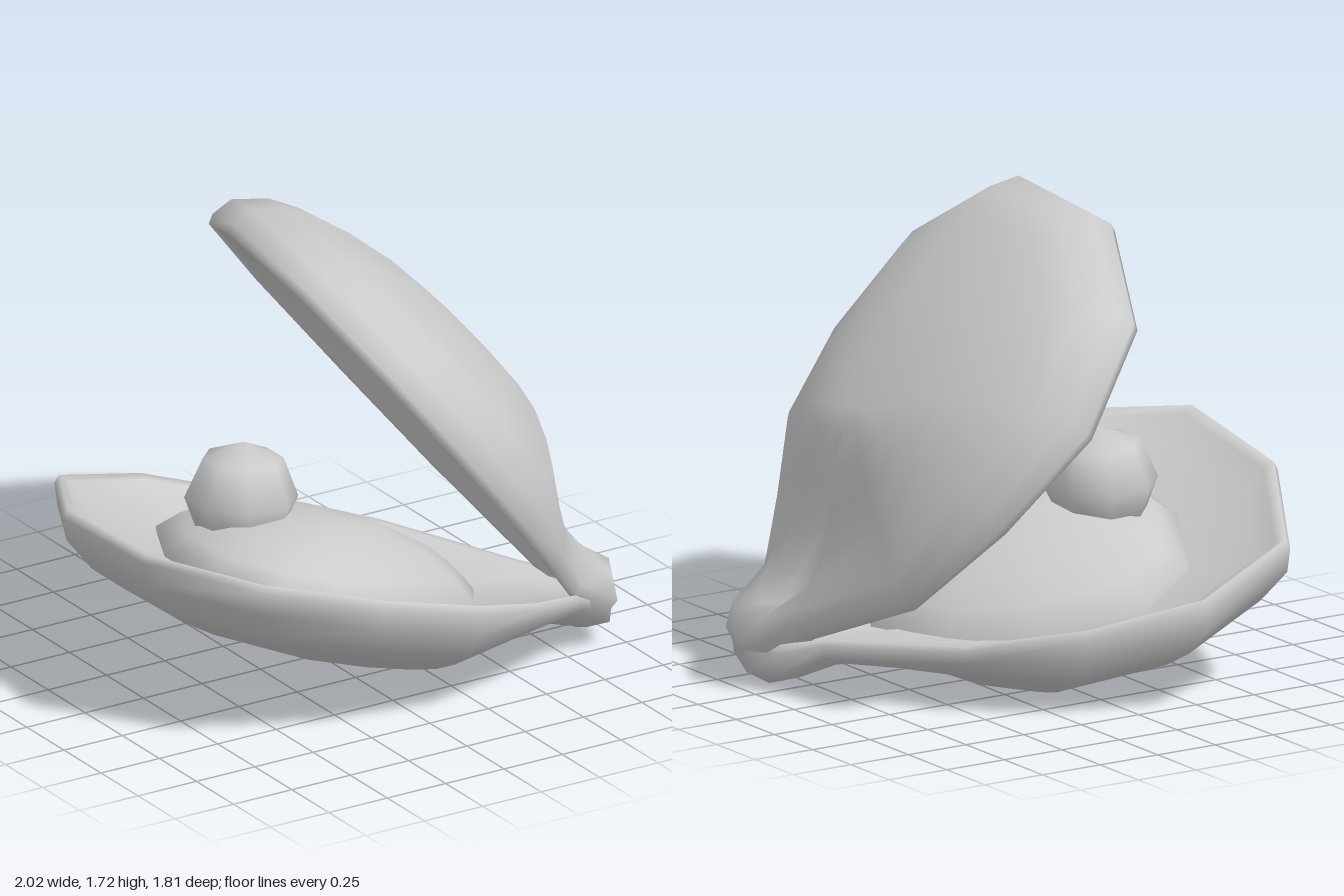
import * as THREE from 'three';
import { mergeVertices } from 'three/addons/utils/BufferGeometryUtils.js';

const material = new THREE.MeshStandardMaterial({ color: 0xcccccc });
const { smoothstep } = THREE.MathUtils;

// Shells get shallower toward the hinge (t near 1), with a fuller knob at the tip
const pinch = (t) => 1 - 0.48 * smoothstep(t, 0.12, 0.62) + 0.5 * smoothstep(t, 0.78, 0.97);

// Each turns outline coordinates and a depth into a point
const lowerPoint = (x, z, d) => [x, 0.442 - 0.29 * x + 0.072 * z - d * pinch(x), z];
const upperPoint = (y, z, depth) => {
  const d = depth * pinch(1.1 - 1.25 * y);
  return [1.02 - 0.8 * y - 0.16 * z + 0.78 * d, y + 0.62 * d, z + 0.08 * d];
};
const fleshPoint = (x, z, d) => [x, 0.442 - 0.29 * x + 0.072 * z - d, z];

// Surface made of scaled copies of an outline; each ring is [scale, depth]
function ringSurface(name, outline, [ca, cz], rings, toPoint) {
  const positions = [], index = [], n = outline.length;
  for (const [s, depth] of rings) {
    for (const [a, z] of outline) {
      positions.push(...toPoint(ca + (a - ca) * s, cz + (z - cz) * s, depth));
    }
  }
  for (let r = 0; r < rings.length - 1; r++) {
    for (let j = 0; j < n; j++) {
      const k = (j + 1) % n;
      const a = r * n + j, b = r * n + k, c = a + n, d = b + n;
      if (rings[r][0] > 0) index.push(a, b, d);
      if (rings[r + 1][0] > 0) index.push(a, d, c);
    }
  }
  let geometry = new THREE.BufferGeometry();
  geometry.setAttribute('position', new THREE.Float32BufferAttribute(positions, 3));
  geometry.setIndex(index);
  geometry = mergeVertices(geometry, 1e-4);
  geometry.computeVertexNormals();
  const mesh = new THREE.Mesh(geometry, material);
  mesh.name = name;
  return mesh;
}

// Shell section: hollow floor, rounded lip, then the outer bulge
const shellRings = [
  [0, 0.2], [0.35, 0.18], [0.65, 0.13], [0.88, 0.06], [0.95, 0.015],
  [0.985, 0], [1, 0.035], [0.99, 0.12], [0.9, 0.22], [0.8, 0.275],
  [0.66, 0.325], [0.48, 0.37], [0.3, 0.392], [0.14, 0.4], [0, 0.4],
];

// Outlines run round the rim; lower is [x, z], upper is [y, z]
const lowerOutline = [
  [-1, 0.39], [-0.94, -0.24], [-0.63, -0.79], [-0.2, -0.91], [0.2, -0.72],
  [0.54, -0.42], [0.82, 0.08], [0.94, 0.2], [0.99, 0.34], [0.94, 0.5],
  [0.76, 0.58], [0.48, 0.75], [0.15, 0.86], [-0.28, 0.88], [-0.72, 0.76],
];
const upperOutline = [
  [0.06, 0.36], [0.1, 0.24], [0.2, 0.12], [0.42, -0.42], [0.74, -0.7],
  [1.1, -0.88], [1.44, -0.74], [1.655, -0.2], [1.645, 0.43], [1.4, 0.78],
  [1.03, 0.9], [0.69, 0.87], [0.47, 0.75], [0.26, 0.58], [0.1, 0.52],
];
const fleshOutline = [
  [-0.65, 0.3], [-0.6, -0.1], [-0.4, -0.47], [-0.15, -0.58], [0.2, -0.42],
  [0.44, -0.15], [0.55, 0.18], [0.4, 0.42], [0.05, 0.56], [-0.3, 0.6], [-0.5, 0.55],
];
const fleshRings = [
  [0, -0.13], [0.35, -0.115], [0.68, -0.05], [0.86, 0.02], [1, 0.1], [0.97, 0.2],
];

export function createModel() {
  const group = new THREE.Group();
  group.name = 'openClam';

  group.add(
    ringSurface('lowerShell', lowerOutline, [0.1, 0.05], shellRings, lowerPoint),
    ringSurface('upperShell', upperOutline, [0.82, 0.03], shellRings, upperPoint),
    ringSurface('flesh', fleshOutline, [0, 0.07], fleshRings, fleshPoint),
  );

  // Pearl resting on the flesh
  const pearl = new THREE.Mesh(new THREE.SphereGeometry(0.21, 8, 4), material);
  pearl.name = 'pearl';
  pearl.position.set(-0.3, 0.67, -0.05);
  pearl.rotation.set(0, Math.PI / 8, -0.08);
  group.add(pearl);
  return group;
}
